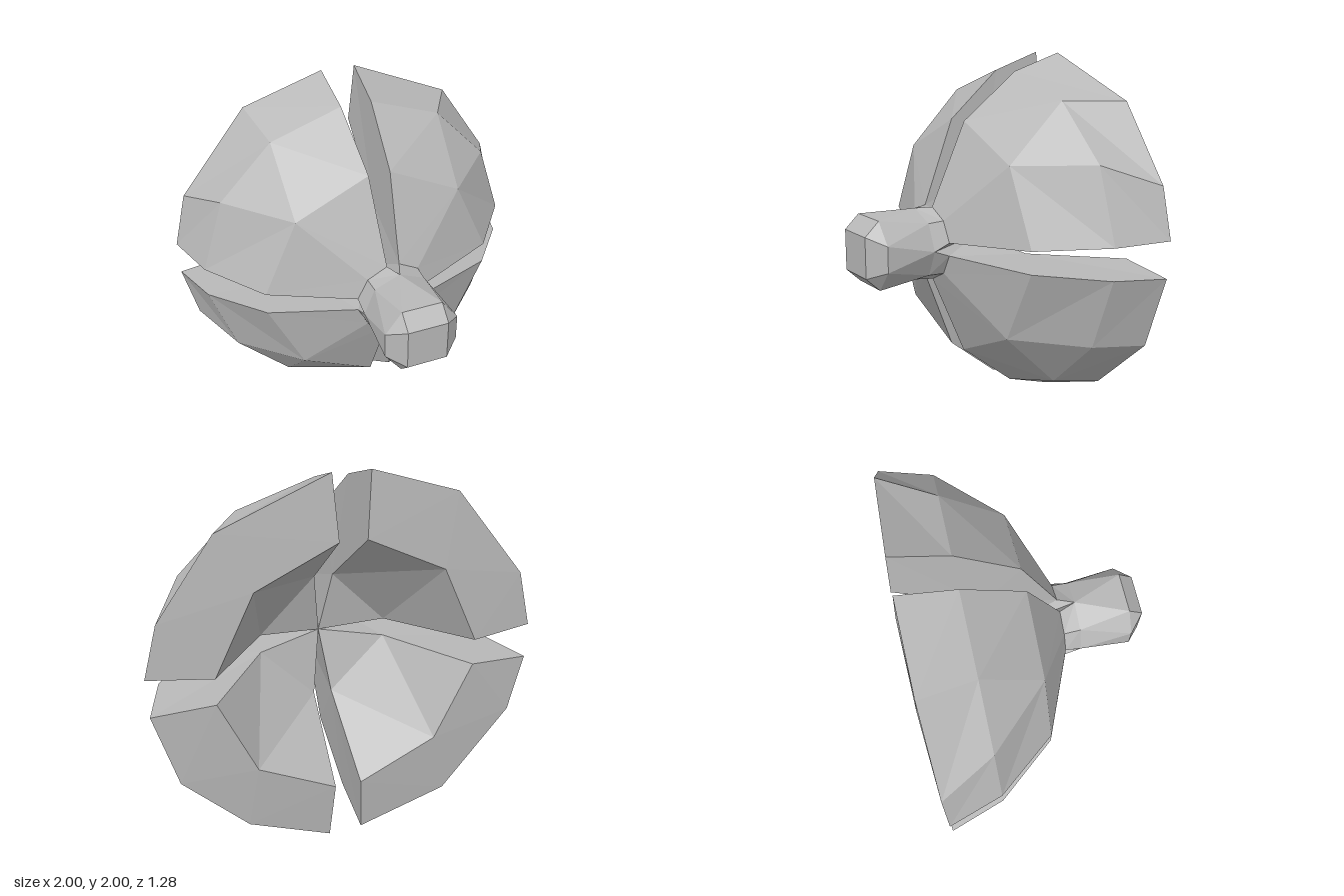
import * as THREE from 'three';
import { ConvexGeometry } from 'three/addons/geometries/ConvexGeometry.js';

const grey = new THREE.MeshStandardMaterial({ color: 0xb8b8b8, flatShading: true });
grey.name = 'plain grey';

// Points on an arc from the upper gap to the side gap of one quadrant
function arc(radius, z, gap, count) {
  const a = Math.asin(gap / radius);
  return Array.from({ length: count }, (_, i) => {
    const t = a + (Math.PI / 2 - 2 * a) * i / (count - 1);
    return [radius * Math.sin(t), radius * Math.cos(t), z];
  });
}

// One thick quarter shell: outer skin, hollow inside, back rim and two gap walls
function petal(sx, sy, rimXY) {
  const rim = rimXY.map(([x, y]) => [x, y, -0.61]);
  const outer1 = arc(0.91, -0.32, 0.085, 4);
  const outer2 = arc(0.655, 0, 0.06, 3);
  const neck = arc(0.205, 0.19, 0.035, 3);
  const collar = arc(0.2, 0.28, 0, 3);
  const apex = [[0, 0, -0.13]];
  const innerMid = arc(0.35, -0.21, 0.05, 2);
  const innerRim = arc(0.68, -0.64, 0.07, 3);

  const pos = [];
  const flip = sx * sy < 0;
  const tri = (a, b, c) => {
    for (const p of flip ? [a, c, b] : [a, b, c]) pos.push(sx * p[0], 1 + sy * p[1], p[2]);
  };
  // Joins two rows of different lengths
  const zip = (A, B) => {
    const m = A.length - 1, n = B.length - 1;
    let i = 0, j = 0;
    while (i < m || j < n) {
      if (j >= n || (i < m && (i + 1) / m <= (j + 1) / n)) { tri(A[i], B[j], A[i + 1]); i++; }
      else { tri(A[i], B[j], B[j + 1]); j++; }
    }
  };
  const skin = [rim, outer1, outer2, neck, collar];
  const hollow = [apex, innerMid, innerRim, rim];
  for (const rows of [skin, hollow])
    for (let k = 0; k < rows.length - 1; k++) zip(rows[k], rows[k + 1]);

  // Walls along the gaps
  const loop = [innerRim, rim, outer1, outer2, neck, apex];
  for (const last of [false, true]) {
    const at = (row) => row[last ? row.length - 1 : 0];
    const wall = (a, b, c) => (last ? tri(a, b, c) : tri(a, c, b));
    for (let k = 0; k < loop.length - 1; k++) wall(at(innerMid), at(loop[k]), at(loop[k + 1]));
    wall(at(neck), at(collar), at(apex));
  }

  const g = new THREE.BufferGeometry();
  g.setAttribute('position', new THREE.Float32BufferAttribute(pos, 3));
  g.computeVertexNormals();
  return g;
}

// Faceted stem with a bevelled square tip
function stem() {
  const pts = [];
  for (let i = 0; i < 8; i++) {
    const t = i * Math.PI / 4;
    pts.push(new THREE.Vector3(0.2 * Math.cos(t), 1 + 0.2 * Math.sin(t), 0.28));
  }
  for (const sx of [-1, 1]) for (const sy of [-1, 1]) {
    pts.push(new THREE.Vector3(sx * 0.11, 1 + sy * 0.185, 0.56));
    pts.push(new THREE.Vector3(sx * 0.2, 1 + sy * 0.07, 0.56));
    pts.push(new THREE.Vector3(sx * 0.11, 1 + sy * 0.11, 0.64));
  }
  return new ConvexGeometry(pts);
}

export function createModel() {
  const group = new THREE.Group();
  group.name = 'splitDome';
  const add = (name, geometry) => {
    const mesh = new THREE.Mesh(geometry, grey);
    mesh.name = name;
    group.add(mesh);
  };
  // Back outlines of the four petals, measured from the centre axis
  add('upperLeftPetal', petal(1, 1, [[0.1, 1], [0.65, 0.77], [0.93, 0.37], [1, 0.1]]));
  add('upperRightPetal', petal(-1, 1, [[0.09, 1], [0.54, 0.86], [0.92, 0.4], [1, 0.1]]));
  add('lowerLeftPetal', petal(1, -1, [[0.09, 1], [0.53, 0.83], [0.87, 0.5], [0.99, 0.1]]));
  add('lowerRightPetal', petal(-1, -1, [[0.09, 0.99], [0.57, 0.84], [0.93, 0.4], [1, 0.09]]));
  add('stem', stem());
  return group;
}
